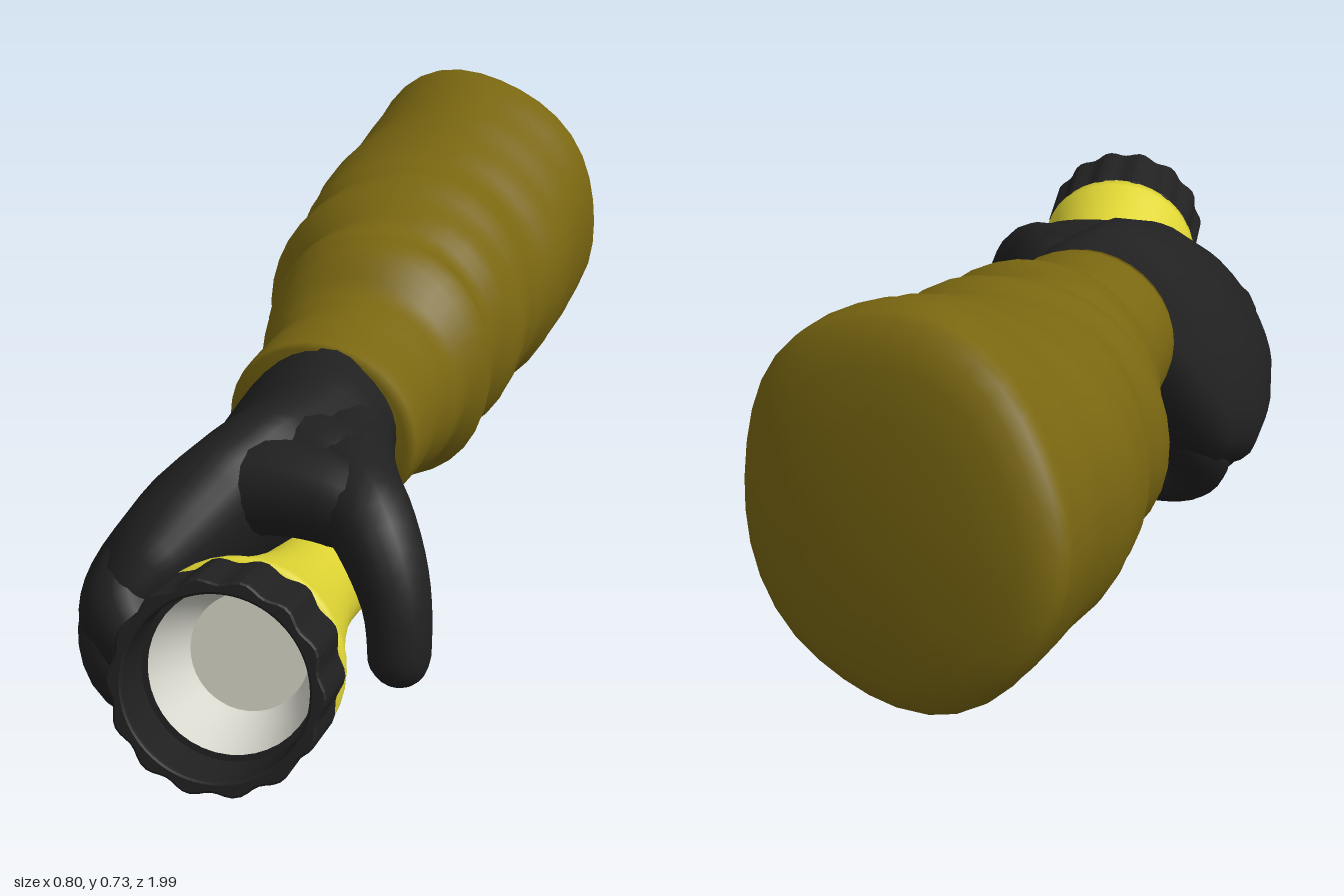
import * as THREE from 'three';
import { mergeVertices } from 'three/addons/utils/BufferGeometryUtils.js';

const V = (x, y, z) => new THREE.Vector3(x, y, z);
const paint = (name, color, side = THREE.FrontSide) => {
  const m = new THREE.MeshStandardMaterial({ color, side });
  m.name = name;
  return m;
};

function add(parent, name, geometry, material) {
  const mesh = new THREE.Mesh(geometry, material);
  mesh.name = name;
  parent.add(mesh);
  return mesh;
}

// Interpolates rows of numbers, keyed by a descending first column.
function sample(rows, z) {
  let i = 0;
  while (i < rows.length - 2 && z < rows[i + 1][0]) i++;
  const a = rows[i], b = rows[i + 1];
  const t = (z - a[0]) / (b[0] - a[0]);
  return a.map((v, k) => v + (b[k] - v) * t);
}

// Skins closed rings running towards -z, with a centre point closing each end.
function loft(rings, startCentre, endCentre) {
  const n = rings[0].length, last = (rings.length - 1) * n;
  const pts = [...rings.flat(), startCentre, endCentre];
  const s = pts.length - 2, e = pts.length - 1, index = [];
  for (let j = 0; j < n; j++) {
    const k = (j + 1) % n;
    for (let i = 0; i < rings.length - 1; i++) {
      const a = i * n + j, b = i * n + k;
      index.push(a, a + n, b, b, a + n, b + n);
    }
    index.push(s, j, k, e, last + k, last + j);
  }
  const g = new THREE.BufferGeometry().setFromPoints(pts);
  g.setIndex(index);
  g.computeVertexNormals();
  return g;
}

// Round-ended tube whose radius follows a list of values; rings crowd at the tips.
function finger(points, radii) {
  const curve = new THREE.CatmullRomCurve3(points.map(p => V(...p)));
  const steps = 36, sides = 16, len = curve.getLength();
  let g = new THREE.TubeGeometry(curve, steps, 1, sides);
  const pos = g.attributes.position, p = V(0, 0, 0);
  for (let i = 0; i <= steps; i++) {
    const u = i / steps, t = 0.5 - 0.5 * Math.cos(u * Math.PI);
    const from = curve.getPointAt(u), to = curve.getPointAt(t);
    const f = t * (radii.length - 1), k = Math.min(Math.floor(f), radii.length - 2);
    let r = THREE.MathUtils.lerp(radii[k], radii[k + 1], f - k);
    const d = Math.min(t, 1 - t) * len;
    if (d < r) r *= Math.sqrt(Math.max(1e-5, 1 - (1 - d / r) ** 2));
    for (let j = 0; j <= sides; j++) {
      const id = i * (sides + 1) + j;
      p.fromBufferAttribute(pos, id).sub(from).multiplyScalar(r).add(to);
      pos.setXYZ(id, p.x, p.y, p.z);
    }
  }
  g.deleteAttribute('uv');
  g.deleteAttribute('normal');
  g = mergeVertices(g, 1e-5);
  g.computeVertexNormals();
  return g;
}

// Wrinkled sleeve: z, min x, max x, min y, max y
function sleeveGeometry() {
  const rows = [
    [0.16, -0.125, 0.185, 0.25, 0.525], [0.13, -0.14, 0.195, 0.24, 0.53],
    [0.0, -0.155, 0.17, 0.22, 0.535], [-0.09, -0.195, 0.17, 0.2, 0.545],
    [-0.13, -0.215, 0.17, 0.195, 0.585], [-0.19, -0.235, 0.19, 0.17, 0.61],
    [-0.27, -0.25, 0.155, 0.175, 0.6], [-0.34, -0.305, 0.175, 0.17, 0.63],
    [-0.42, -0.305, 0.165, 0.175, 0.65], [-0.52, -0.345, 0.155, 0.17, 0.655],
    [-0.6, -0.365, 0.165, 0.165, 0.675], [-0.72, -0.37, 0.155, 0.165, 0.705],
    [-0.85, -0.39, 0.145, 0.18, 0.735], [-0.9, -0.4, 0.14, 0.2, 0.735],
  ];
  const count = 48, sides = 36, rings = [];
  for (let i = 0; i <= count; i++) {
    const z = 0.16 - 1.06 * i / count;
    const [, x0, x1, y0, y1] = sample(rows, z);
    const cx = (x0 + x1) / 2, cy = (y0 + y1) / 2, far = Math.max(0, -z);
    const fold = 0.004 + 0.02 * Math.exp(-(((z + 0.27) / 0.2) ** 2));
    const ring = [];
    for (let j = 0; j < sides; j++) {
      const a = j / sides * Math.PI * 2;
      const r = 1 + fold * Math.sin(46 * z + 2 * Math.sin(a + 0.6) + Math.sin(2 * a))
        + 0.014 * far * Math.sin(5 * a + 9 * z)
        - 0.03 * far * Math.max(0, Math.cos(a - 0.6))
        - 0.05 * far * Math.max(0, Math.cos(a - 3.9));
      const y = cy + Math.sin(a) * (y1 - y0) / 2 * r;
      const x = cx + Math.cos(a) * (x1 - x0) / 2 * r + 0.08 * far * (y - cy);
      const slant = THREE.MathUtils.smoothstep(-z, 0.5, 0.9);
      ring.push(V(x, y, z + slant * (0.2 * (x + 0.13) + 0.16 * (y - 0.46))));
    }
    rings.push(ring);
  }
  // Domed closed end with a soft rim
  const centre = V(-0.14, 0.45, -0.962);
  const rim = rings[rings.length - 1];
  for (const [t, d] of [[0.03, 0.014], [0.1, 0.03], [0.22, 0.043], [0.45, 0.052], [0.75, 0.056]]) {
    rings.push(rim.map(p => V(
      p.x + (centre.x - p.x) * t, p.y + (centre.y - p.y) * t,
      p.z + (-0.905 - p.z) * t - d)));
  }
  return loft(rings, V(0.03, 0.39, 0.155), centre);
}

// Back of the hand: z, centre x, centre y, half length, half thickness, tilt
function palmGeometry() {
  const rows = [
    [0.68, -0.05, 0.28, 0.03, 0.025, 1], [0.66, -0.05, 0.285, 0.08, 0.045, 1],
    [0.59, -0.055, 0.285, 0.15, 0.08, 1], [0.5, -0.045, 0.295, 0.215, 0.097, 1],
    [0.4, -0.035, 0.295, 0.25, 0.102, 1], [0.3, -0.018, 0.31, 0.235, 0.107, 0.97],
    [0.22, 0.003, 0.35, 0.195, 0.117, 0.9], [0.15, 0.03, 0.388, 0.14, 0.128, 0.78],
    [0.08, 0.025, 0.39, 0.13, 0.12, 0.78],
  ];
  const full = v => Math.sign(v) * Math.abs(v) ** 0.88;
  const rings = [], count = 24, sides = 32;
  for (let i = 0; i <= count; i++) {
    const [z, cx, cy, a, b, tilt] = sample(rows, 0.68 - 0.6 * i / count);
    const c = Math.cos(tilt), s = Math.sin(tilt);
    rings.push(Array.from({ length: sides }, (_, j) => {
      const t = j / sides * Math.PI * 2, u = a * full(Math.cos(t)), v = b * full(Math.sin(t));
      return V(cx + u * c - v * s, cy + u * s + v * c, z);
    }));
  }
  return loft(rings, V(-0.05, 0.28, 0.685), V(0.025, 0.39, 0.08));
}

// Torch built along local +z, tail at the origin
function buildTorch({ yellow, black, grey, silver, lens }) {
  const torch = new THREE.Group();
  torch.name = 'torch';
  const lathe = pts => new THREE.LatheGeometry(pts.map(p => new THREE.Vector2(...p)), 40).rotateX(Math.PI / 2);

  add(torch, 'tailCap', lathe([[0, 0], [0.05, 0], [0.07, 0.008], [0.08, 0.025], [0.082, 0.06], [0.078, 0.075], [0, 0.075]]), black);
  add(torch, 'barrel', lathe([[0.06, 0.068], [0.082, 0.07], [0.087, 0.08], [0.087, 0.105], [0.081, 0.115],
    [0.081, 0.4], [0.087, 0.5], [0.104, 0.62], [0.124, 0.73], [0.141, 0.81], [0.148, 0.835], [0.148, 0.853], [0.13, 0.855]]), yellow);

  // Scalloped bezel ring
  const outline = new THREE.Shape(Array.from({ length: 96 }, (_, i) => {
    const a = i / 96 * Math.PI * 2, r = 0.142 + 0.004 * Math.cos(a * 14);
    return new THREE.Vector2(r * Math.cos(a), r * Math.sin(a));
  }));
  outline.holes.push(new THREE.Path().absarc(0, 0, 0.13, 0, Math.PI * 2, true));
  const bezel = new THREE.ExtrudeGeometry(outline, {
    depth: 0.116, bevelSize: 0.004, bevelThickness: 0.006, bevelSegments: 2, curveSegments: 40,
  });
  add(torch, 'bezel', bezel, black).position.z = 0.855;
  const innerRing = new THREE.RingGeometry(0.117, 0.131, 40);
  add(torch, 'innerRing', innerRing, black).position.z = 0.881;

  // Reflector bowl and lamp disc
  add(torch, 'reflector', lathe([[0.083, 0.77], [0.087, 0.785], [0.1, 0.82], [0.118, 0.88]]), silver);
  add(torch, 'lamp', new THREE.CircleGeometry(0.085, 36), lens).position.z = 0.777;

  // Side switch with housing
  const housing = add(torch, 'switchHousing', new THREE.CapsuleGeometry(0.034, 0.07, 6, 16).rotateX(Math.PI / 2), yellow);
  housing.position.set(-0.088, 0.02, 0.61);
  const button = add(torch, 'switchButton', new THREE.CapsuleGeometry(0.018, 0.04, 6, 14).rotateX(Math.PI / 2), black);
  button.position.set(-0.112, 0.02, 0.615);

  // Thin curved plate on the underside
  const plate = new THREE.CylinderGeometry(0.084, 0.084, 0.17, 12, 1, true, -0.4, 0.9).rotateX(Math.PI / 2);
  add(torch, 'plate', plate, grey).position.z = 0.215;

  torch.position.set(0.038, 0.147, 0.022);
  torch.lookAt(0.266, 0.355, 0.96);
  return torch;
}

export function createModel() {
  const model = new THREE.Group();
  model.name = 'armWithTorch';
  const mats = {
    yellow: paint('torch yellow', 0xe0d634),
    black: paint('black', 0x202020),
    grey: paint('plate grey', 0x767674, THREE.DoubleSide),
    silver: paint('reflector silver', 0xd6d6cc, THREE.DoubleSide),
    lens: paint('lamp white', 0xd0d0c2),
  };
  const olive = paint('sleeve olive', 0x7a6711);

  add(model, 'sleeve', sleeveGeometry(), olive);

  // Gloved hand
  const hand = new THREE.Group();
  hand.name = 'glovedHand';
  model.add(hand);
  add(hand, 'palm', palmGeometry(), mats.black);
  add(hand, 'thumb', finger(
    [[0.06, 0.39, 0.16], [0.13, 0.4, 0.29], [0.21, 0.41, 0.41], [0.275, 0.39, 0.475], [0.325, 0.3, 0.505], [0.34, 0.172, 0.525]],
    [0.1, 0.09, 0.08, 0.066, 0.052, 0.044]), mats.black);
  // Web of the hand lying over the torch between thumb and index finger
  add(hand, 'frontWeb', finger(
    [[-0.07, 0.36, 0.46], [0, 0.395, 0.465], [0.08, 0.415, 0.455], [0.17, 0.417, 0.45], [0.3, 0.39, 0.45]],
    [0.06, 0.075, 0.072, 0.068, 0.055]), mats.black);
  add(hand, 'rearWeb', finger(
    [[-0.04, 0.36, 0.36], [0.04, 0.395, 0.36], [0.12, 0.41, 0.365], [0.26, 0.4, 0.39]],
    [0.08, 0.095, 0.088, 0.07]), mats.black);
  const digits = {
    indexFinger: [[-0.035, 0.33, 0.5], [-0.06, 0.285, 0.63], [0.0, 0.225, 0.668], [0.085, 0.175, 0.66], [0.225, 0.142, 0.62]],
    middleFinger: [[-0.08, 0.29, 0.45], [-0.11, 0.2, 0.56], [-0.075, 0.135, 0.59], [0.03, 0.105, 0.57], [0.185, 0.115, 0.52]],
    ringFinger: [[-0.08, 0.24, 0.38], [-0.115, 0.155, 0.455], [-0.09, 0.087, 0.485], [0, 0.062, 0.47], [0.125, 0.09, 0.42]],
    littleFinger: [[-0.06, 0.22, 0.28], [-0.105, 0.14, 0.335], [-0.085, 0.067, 0.38], [-0.02, 0.048, 0.38], [0.09, 0.085, 0.32]],
  };
  for (const [name, path] of Object.entries(digits)) {
    add(hand, name, finger(path, [0.066, 0.064, 0.056, 0.049, 0.044]), mats.black);
  }

  model.add(buildTorch(mats));
  return model;
}
